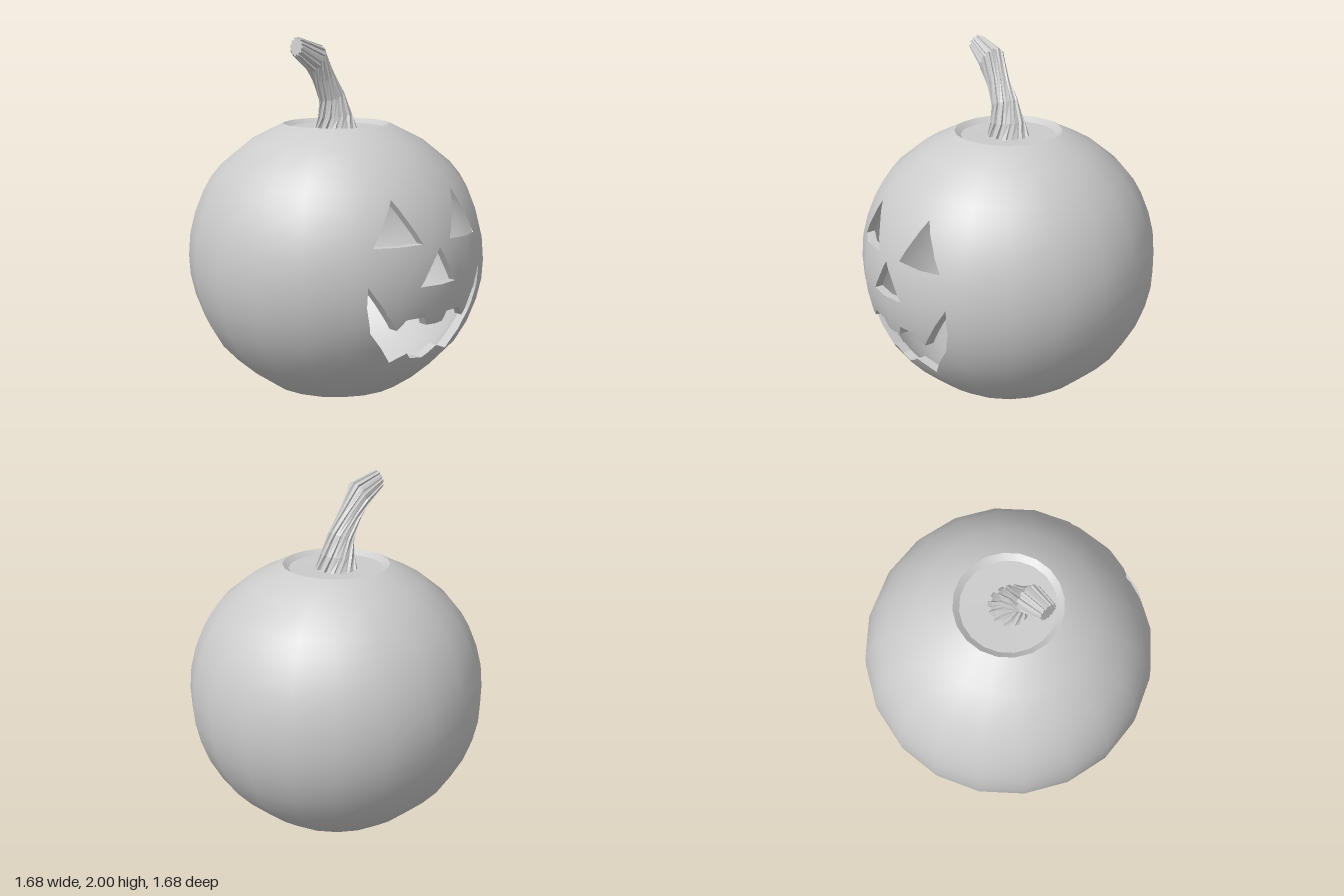
import * as THREE from 'three';

const SIDES = 20, STEP = (Math.PI * 2) / SIDES, MID = 0.77;
const grey = () => new THREE.MeshStandardMaterial({ color: 0xcccccc });

// Shell profiles as [radius, y], bottom to top
const OUTER = [[0.38, 0.03], [0.49, 0.105], [0.6, 0.2], [0.685, 0.29], [0.755, 0.41], [0.805, 0.54],
  [0.833, 0.66], [0.84, 0.77], [0.83, 0.9], [0.8, 1.02], [0.752, 1.14], [0.707, 1.22], [0.65, 1.29],
  [0.49, 1.42], [0.3, 1.515]];
const INNER = [[0, 0.06], ...OUTER.map(([r, y]) => [r * 0.945, MID + (y - MID) * 0.945]), [0, 1.479]];

// Carved openings as [z, y], cut straight through the +x side
const HOLES = [
  [[0.228, 1.188], [0.376, 0.955], [0.1, 0.955]],
  [[-0.217, 1.204], [-0.36, 0.95], [-0.095, 0.96]],
  [[0, 0.934], [0.132, 0.735], [-0.122, 0.735]],
  [[0.413, 0.76], [0.413, 0.653], [0.37, 0.505], [0.21, 0.31], [0.116, 0.352], [0.08, 0.315], [0, 0.304],
    [-0.042, 0.32], [-0.1, 0.357], [-0.217, 0.31], [-0.365, 0.51], [-0.402, 0.627], [-0.407, 0.765],
    [-0.249, 0.51], [-0.19, 0.57], [-0.08, 0.57], [-0.058, 0.516], [0.058, 0.516], [0.085, 0.563],
    [0.196, 0.563], [0.243, 0.51]],
];

function radiusAt(profile, y) {
  let i = 1;
  while (i < profile.length - 1 && profile[i][1] < y) i++;
  const [r0, y0] = profile[i - 1], [r1, y1] = profile[i];
  return r0 + ((r1 - r0) * (y - y0)) / (y1 - y0);
}

// Point on the faceted shell; u counts sides around from +x towards +z
function shellPoint(profile, u, y) {
  const k = Math.floor(u), f = u - k, r = radiusAt(profile, y);
  const mix = (fn) => fn(k * STEP) * (1 - f) + fn((k + 1) * STEP) * f;
  return new THREE.Vector3(r * mix(Math.cos), y, r * mix(Math.sin));
}

// Side coordinate u of a point given by z and y
function sideAt(profile, z, y) {
  const s = z / radiusAt(profile, y);
  let k = -4;
  while (s > Math.sin((k + 1) * STEP)) k++;
  const s0 = Math.sin(k * STEP);
  return k + (s - s0) / (Math.sin((k + 1) * STEP) - s0);
}

// Outline of an opening, split finely and wherever it crosses a ring of the shell
function splitOutline(hole, profile) {
  return hole.flatMap(([z0, y0], i) => {
    const [z1, y1] = hole[(i + 1) % hole.length];
    const ts = [0, 0.25, 0.5, 0.75];
    for (const [, y] of profile) {
      const t = (y - y0) / (y1 - y0);
      if (t > 0.001 && t < 0.999) ts.push(t);
    }
    return ts.sort((a, b) => a - b).map((t) => [z0 + (z1 - z0) * t, y0 + (y1 - y0) * t]);
  });
}

function geometryOf(points, normals) {
  const geo = new THREE.BufferGeometry().setFromPoints(points);
  if (normals) geo.setAttribute('normal', new THREE.Float32BufferAttribute(normals.flatMap((n) => n.toArray()), 3));
  else geo.computeVertexNormals();
  return geo;
}

// Shell skin, made of upright strips that leave the openings free
function skin(profile, inward) {
  const edges = HOLES.flatMap((hole) => {
    const pts = splitOutline(hole, profile).map(([z, y]) => [sideAt(profile, z, y), y]);
    return pts.map((p, i) => [p, pts[(i + 1) % pts.length]]);
  });
  let cuts = edges.map((e) => e[0][0]);
  for (let k = -SIDES / 2; k <= SIDES / 2; k++) cuts.push(k);
  cuts.sort((a, b) => a - b);
  cuts = cuts.filter((c, i) => i === 0 || c - cuts[i - 1] > 1e-6);

  const points = [];
  for (let i = 1; i < cuts.length; i++) {
    const ua = cuts[i - 1], ub = cuts[i], um = (ua + ub) / 2;
    const lines = profile.map(([, y]) => ({ a: y, b: y, m: y, edge: false }));
    for (const [[u0, y0], [u1, y1]] of edges) {
      if ((u0 - um) * (u1 - um) >= 0) continue;
      const at = (u) => y0 + ((y1 - y0) * (u - u0)) / (u1 - u0);
      lines.push({ a: at(ua), b: at(ub), m: at(um), edge: true });
    }
    lines.sort((p, q) => p.m - q.m);
    let open = false;
    for (let j = 0; j < lines.length - 1; j++) {
      const lo = lines[j], hi = lines[j + 1];
      if (lo.edge) open = !open;
      if (open) continue;
      const a = shellPoint(profile, ua, lo.a), b = shellPoint(profile, ub, lo.b);
      const c = shellPoint(profile, ub, hi.b), d = shellPoint(profile, ua, hi.a);
      points.push(...(inward ? [b, d, a, b, c, d] : [b, a, d, b, d, c]));
    }
  }
  const normals = points.map((p) => new THREE.Vector3(p.x, p.y - MID, p.z).normalize().multiplyScalar(inward ? -1 : 1));
  return geometryOf(points, normals);
}

// Cut faces joining the outer and inner skin around one opening
function cutFaces(hole) {
  const pts = splitOutline(hole, OUTER), tris = [];
  const on = (profile, [z, y]) => shellPoint(profile, sideAt(profile, z, y), y);
  pts.forEach((p, i) => {
    const q = pts[(i + 1) % pts.length];
    const a = on(OUTER, p), b = on(OUTER, q), c = on(INNER, q), d = on(INNER, p);
    tris.push(a, b, c, a, c, d);
  });
  return geometryOf(tris);
}

// Ribbed, twisted stem bending towards +z: [y, z, radius, tilt, twist] per section
function stemGeometry() {
  const sections = [[1.47, 0, 0.122, 0, 0], [1.56, 0.01, 0.096, 0.12, 0.3], [1.665, 0.035, 0.074, 0.35, 0.6],
    [1.775, 0.095, 0.064, 0.6, 0.95], [1.88, 0.153, 0.08, 1.15, 1.3], [1.948, 0.288, 0.053, 1.42, 1.4]];
  const ribs = 12, n = ribs * 4;
  const rings = sections.map(([y, z, r, tilt, twist]) => Array.from({ length: n }, (_, j) => {
    const angle = ((Math.floor(j / 4) + [0, 0.45, 0.55, 0.9][j % 4]) / ribs) * Math.PI * 2 + twist;
    const rr = r * (j % 4 < 2 ? 1 : 0.84), side = rr * Math.cos(angle);
    return new THREE.Vector3(rr * Math.sin(angle), y - side * Math.sin(tilt), z + side * Math.cos(tilt));
  }));
  const tris = [];
  const end = new THREE.Vector3(0, 1.948, 0.288);
  for (let j = 0; j < n; j++) {
    const k = (j + 1) % n;
    for (let s = 1; s < rings.length; s++) {
      const lo = rings[s - 1], hi = rings[s];
      tris.push(lo[j], lo[k], hi[k], lo[j], hi[k], hi[j]);
    }
    const top = rings[rings.length - 1];
    tris.push(end, top[j], top[k]);
  }
  return geometryOf(tris);
}

function lathe(profile) {
  return new THREE.LatheGeometry(profile.map(([r, y]) => new THREE.Vector2(r, y)), SIDES);
}

export function createModel() {
  const model = new THREE.Group();
  const add = (name, geo) => {
    const mesh = new THREE.Mesh(geo, grey());
    mesh.name = name;
    model.add(mesh);
  };
  add('outerSkin', skin(OUTER, false));
  add('innerSkin', skin(INNER, true));
  const names = ['leftEyeCut', 'rightEyeCut', 'noseCut', 'mouthCut'];
  HOLES.forEach((hole, i) => add(names[i], cutFaces(hole)));

  // Dimpled underside, its rim shaded to flow into the skin
  const base = lathe([[0, 0.045], [0.12, 0.028], [0.24, 0], [0.38, 0.03]]);
  const pos = base.attributes.position, rim = new THREE.Vector3();
  for (let i = 0; i < pos.count; i++) {
    rim.fromBufferAttribute(pos, i);
    if (Math.hypot(rim.x, rim.z) < 0.3) continue;
    rim.y -= MID;
    rim.normalize();
    base.attributes.normal.setXYZ(i, rim.x, rim.y, rim.z);
  }
  add('underside', base);

  // Shallow recess around the stem
  add('topRecess', lathe([[0.265, 1.49], [0.3, 1.515]]));
  add('topFloor', lathe([[0, 1.485], [0.265, 1.49]]));
  model.children.slice(-2).forEach((m) => { m.material.side = THREE.DoubleSide; });
  add('stem', stemGeometry());
  return model;
}
